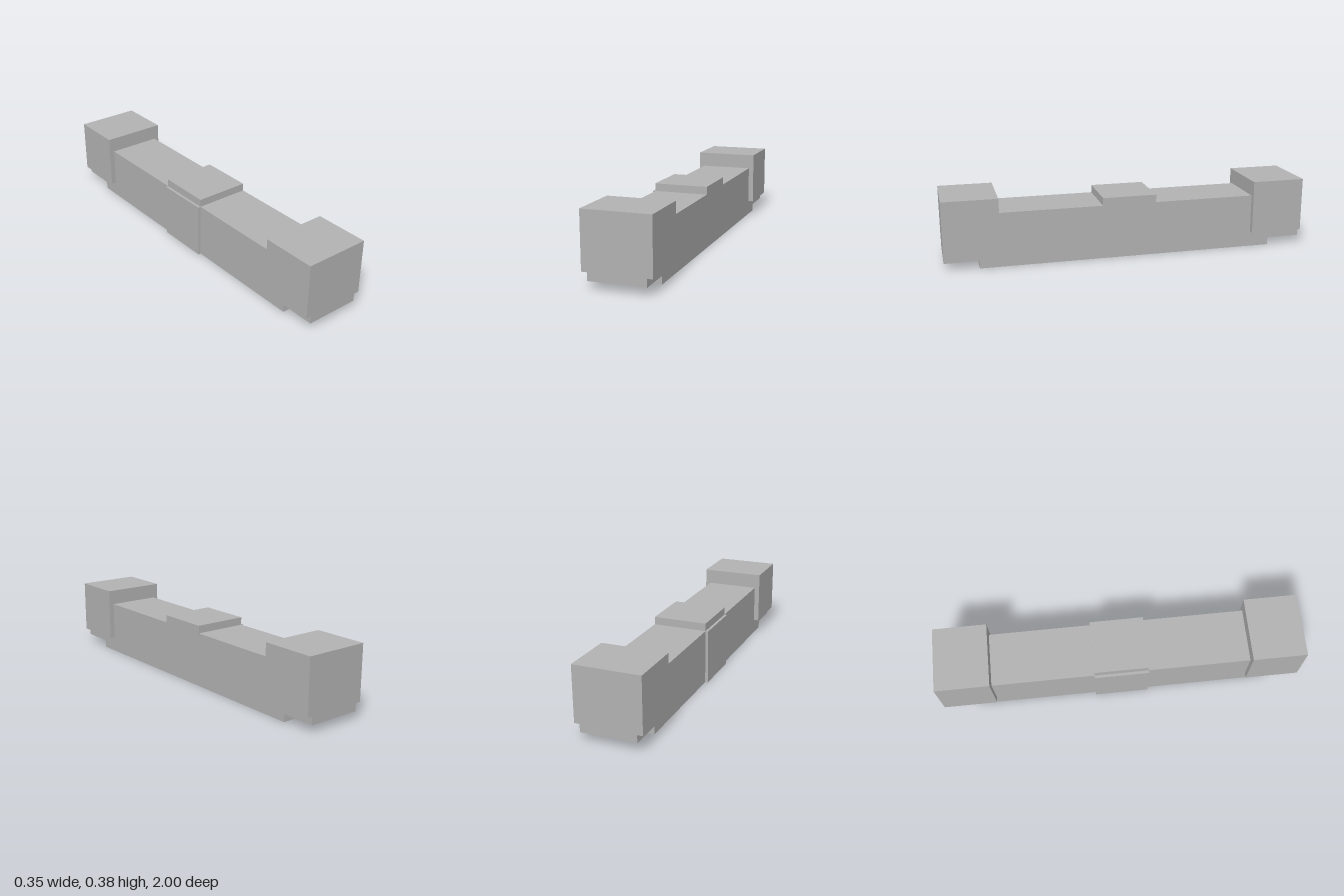
import * as THREE from 'three';

export function createModel() {
  const group = new THREE.Group();
  const grey = new THREE.MeshStandardMaterial({ color: 0xb2b2b2 });
  grey.name = 'plain grey';

  const add = (name, geometry) => {
    const mesh = new THREE.Mesh(geometry, grey);
    mesh.name = name;
    group.add(mesh);
  };

  // Box given by its lower and upper limits on each axis
  const box = (name, [x0, x1], [y0, y1], [z0, z1]) =>
    add(name, new THREE.BoxGeometry(x1 - x0, y1 - y0, z1 - z0)
      .translate((x0 + x1) / 2, (y0 + y1) / 2, (z0 + z1) / 2));

  const half = 0.148, top = 0.296, capBase = 0.084, capInner = 0.706;

  // Long beam: side profile with raised tongues at both ends, extruded across x
  const side = [[0.815, 0], [0.815, 0.042], [1, 0.042], [1, capBase], [capInner, capBase], [capInner, top]];
  const profile = [...side, ...side.map(([z, y]) => [-z, y]).reverse()];
  const shape = new THREE.Shape(profile.map(([z, y]) => new THREE.Vector2(z, y)));
  add('beam', new THREE.ExtrudeGeometry(shape, { depth: half * 2, bevelEnabled: false })
    .translate(0, 0, -half).rotateY(-Math.PI / 2));

  // Wider blocks on the two ends
  box('frontEndBlock', [-0.177, 0.177], [capBase, 0.38], [capInner, 1]);
  box('backEndBlock', [-0.177, 0.177], [capBase, 0.38], [-1, -capInner]);

  // Raised plates at the middle: one on top, one on the right flank
  box('middleTopPlate', [-half, half], [top, 0.338], [-half, half]);
  box('middleSidePlate', [-0.163, -half], [0, top], [-half, half]);

  return group;
}
